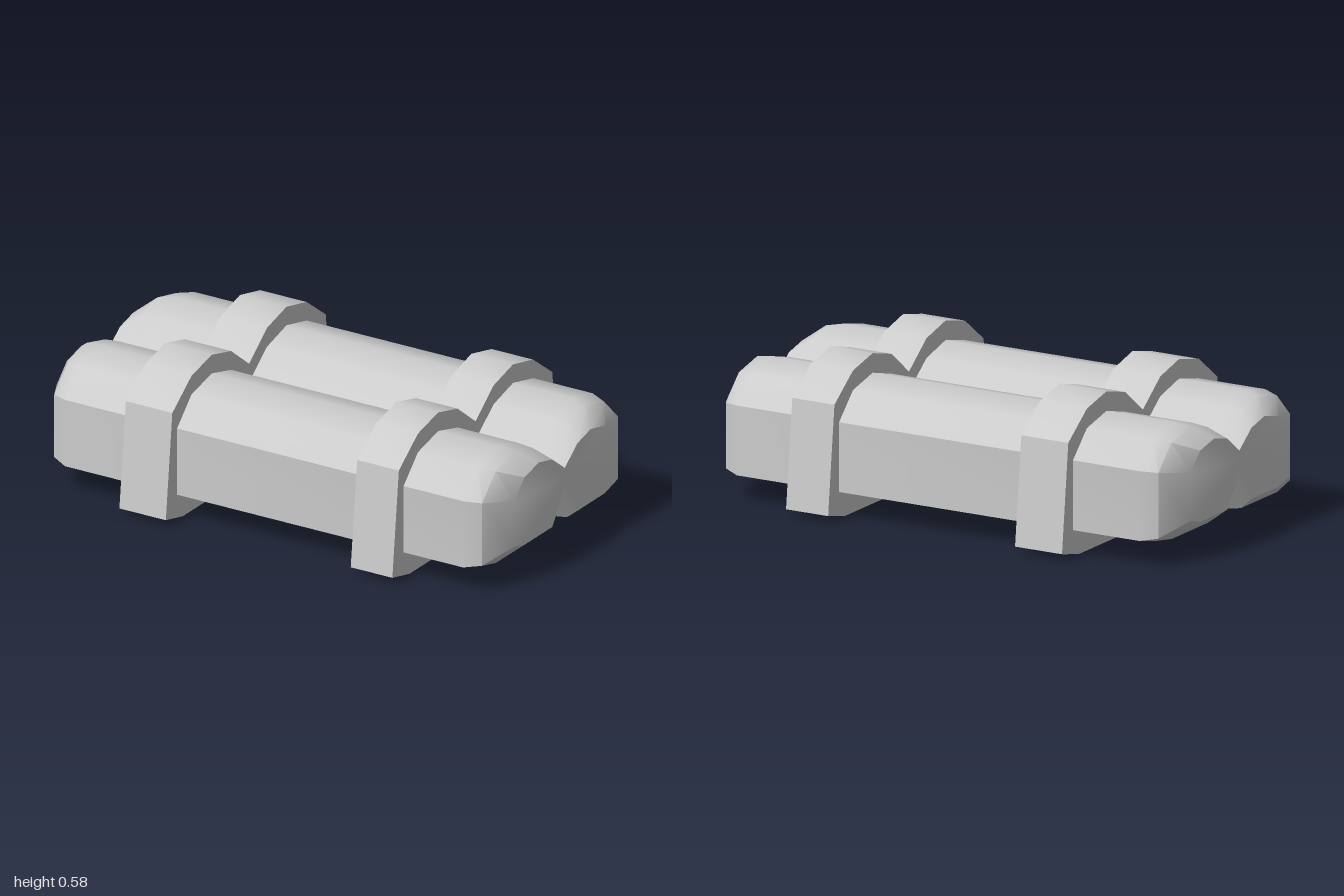
import * as THREE from 'three';
import { toCreasedNormals } from 'three/addons/utils/BufferGeometryUtils.js';

// Half outlines as [z, y], from the top valley round to the bottom notch
const bodyHalf = [[0, 0.37], [0.125, 0.467], [0.26, 0.503], [0.4, 0.47], [0.5, 0.37],
  [0.5, 0.102], [0.4, 0.077], [0.125, 0.077], [0, 0.265]];
const endHalf = [[0, 0.348], [0.087, 0.415], [0.18, 0.438], [0.28, 0.415], [0.35, 0.346],
  [0.35, 0.161], [0.277, 0.142], [0.087, 0.142], [0, 0.265]];
const strapHalf = [[0, 0.445], [0.125, 0.543], [0.26, 0.578], [0.4, 0.545], [0.533, 0.445],
  [0.578, 0.028], [0.46, 0], [0.143, 0], [0, 0.19]];

// Full closed outline from a half outline
const mirror = (half) => [...half, ...half.slice(1, -1).reverse().map(([z, y]) => [-z, y])];

// Blend between two outlines
const blend = (a, b, t) => a.map(([z, y], i) => [z + (b[i][0] - z) * t, y + (b[i][1] - y) * t]);

// Closed skin through outlines placed along x, with flat ends
function loft(stations) {
  const rings = stations.map(([x, half]) => mirror(half).map(([z, y]) => [x, y, z]));
  const n = rings[0].length;
  const pos = [];
  const tri = (...corners) => corners.forEach((c) => pos.push(...c));
  for (let r = 0; r < rings.length - 1; r++) {
    const a = rings[r], b = rings[r + 1];
    for (let i = 0; i < n; i++) {
      const j = (i + 1) % n;
      tri(a[i], a[j], b[j]);
      tri(a[i], b[j], b[i]);
    }
  }
  const first = rings[0], last = rings[rings.length - 1];
  const c0 = [first[0][0], 0.31, 0], c1 = [last[0][0], 0.31, 0];
  for (let i = 0; i < n; i++) {
    const j = (i + 1) % n;
    tri(c0, first[j], first[i]);
    tri(c1, last[i], last[j]);
  }
  const geometry = new THREE.BufferGeometry();
  geometry.setAttribute('position', new THREE.Float32BufferAttribute(pos, 3));
  return toCreasedNormals(geometry, THREE.MathUtils.degToRad(37));
}

export function createModel() {
  const group = new THREE.Group();
  const material = new THREE.MeshStandardMaterial({ color: 0xcccccc });
  const add = (name, stations) => {
    const mesh = new THREE.Mesh(loft(stations), material);
    mesh.name = name;
    group.add(mesh);
  };

  // Twin-lobed body with rounded ends
  const shoulder = blend(bodyHalf, endHalf, 0.19);
  add('twinBody', [[-1, endHalf], [-0.935, shoulder], [-0.87, bodyHalf],
    [0.87, bodyHalf], [0.935, shoulder], [1, endHalf]]);

  // Straps wrapped round the body
  add('rightStrap', [[-0.583, strapHalf], [-0.38, strapHalf]]);
  add('leftStrap', [[0.428, strapHalf], [0.61, strapHalf]]);
  return group;
}
